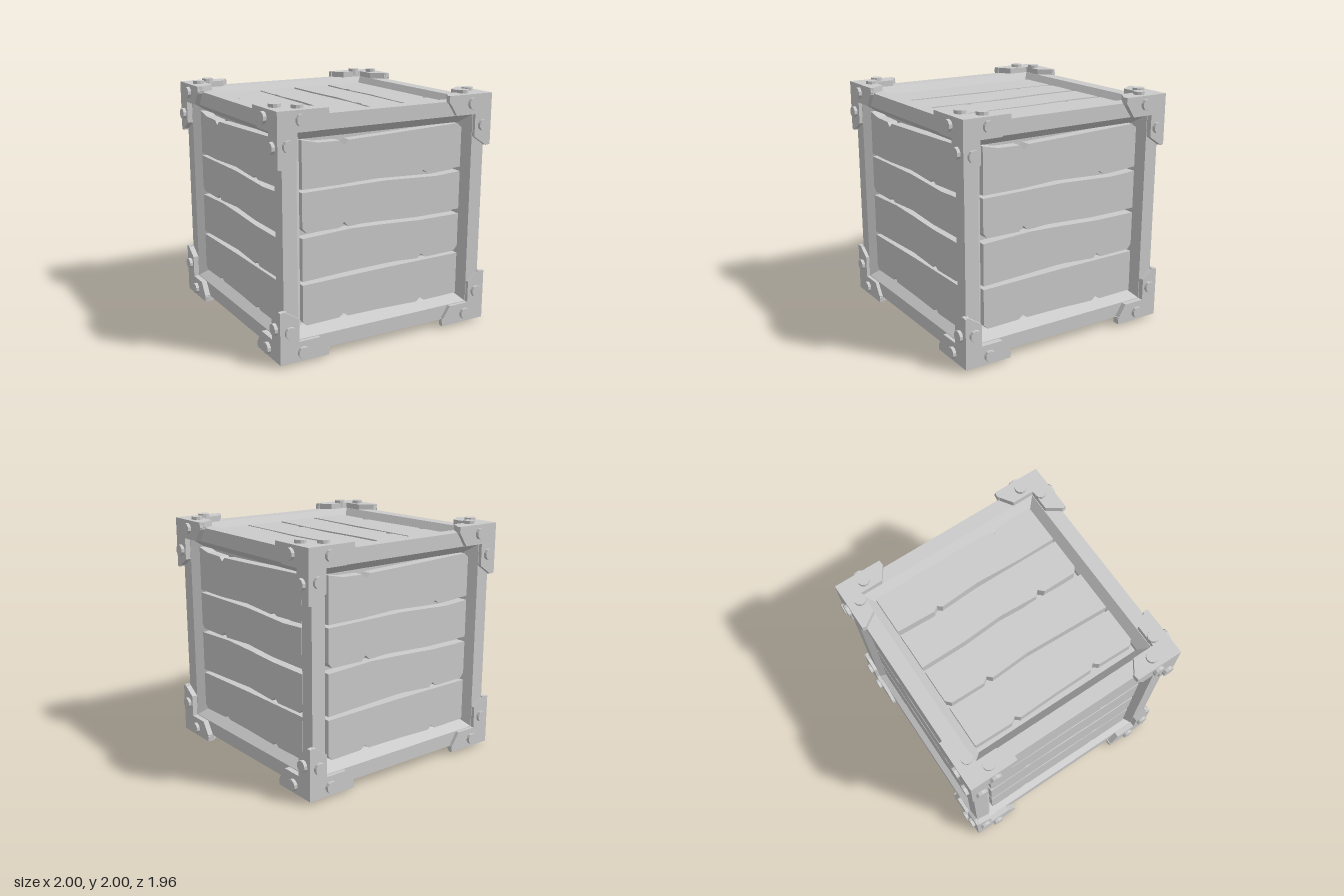
import * as THREE from 'three';

const material = new THREE.MeshStandardMaterial({ color: 0xcccccc, flatShading: true });
const toVec = (pts) => pts.map(([x, y]) => new THREE.Vector2(x, y));

// Upper and lower edge of each plank, left to right, measured from the face centre
const PLANKS = [
  { top: [[-.735, .735], [-.6, .705], [-.41, .7], [-.37, .665], [-.33, .7], [0, .71], [.69, .735], [.735, .70]],
    bottom: [[-.735, .36], [-.4, .36], [0, .378], [.33, .357], [.365, .385], [.41, .357], [.735, .37]] },
  { top: [[-.735, .335], [0, .343], [.5, .32], [.735, .333]],
    bottom: [[-.735, .06], [-.7, .018], [-.41, .018], [-.37, .058], [-.33, .018], [0, .036], [.35, .013], [.735, .013]] },
  { top: [[-.735, -.022], [-.3, -.002], [0, -.012], [.35, -.03], [.735, -.03]],
    bottom: [[-.735, -.365], [0, -.335], [.33, -.355], [.365, -.32], [.41, -.355], [.7, -.35], [.735, -.31]] },
  { top: [[-.735, -.395], [0, -.38], [.735, -.375]],
    bottom: [[-.735, -.69], [-.7, -.728], [-.41, -.722], [-.37, -.69], [-.33, -.722], [0, -.725], [.33, -.735],
      [.365, -.705], [.41, -.735], [.735, -.73]] },
];

// Half width, half height and outer level of the corner plates, bolt top and bolt positions
const HARDWARE = {
  front: { u: .972, v: .974, level: .955, boltTop: .982, bolts: [[.778, .9], [.888, .717]] },
  side: { u: .955, v: .974, level: .972, boltTop: 1, bolts: [[.745, .903], [.875, .7]] },
  lid: { u: .972, v: .955, level: .974, boltTop: 1, bolts: [[.757, .85], [.885, .742]] },
};

function slab(name, pts, z0, z1) {
  const geometry = new THREE.ExtrudeGeometry(new THREE.Shape(toVec(pts)), { depth: z1 - z0, bevelEnabled: false });
  geometry.translate(0, 0, z0);
  const mesh = new THREE.Mesh(geometry, material);
  mesh.name = name;
  return mesh;
}

// Four planks; on lids they run the other way
function plankPanel(face) {
  const group = new THREE.Group();
  group.name = 'plankPanel';
  for (const { top, bottom } of PLANKS) {
    let pts = [...top, ...[...bottom].reverse()];
    if (face === 'lid') pts = pts.map(([x, y]) => [Math.min(y + .04, .745), x]);
    group.add(slab('plank', pts, .77, .877));
  }
  return group;
}

// L-shaped plates with slanted arm ends and two bolts at the four corners of a face
function cornerHardware(face) {
  const { u, v, level, boltTop, bolts } = HARDWARE[face];
  const plate = [[u, v], [.55, v], [.545, .93], [.625, .81], [.81, .81], [.81, .625], [.93, .545], [u, .55]];
  const group = new THREE.Group();
  group.name = 'cornerHardware';
  for (const sx of [-1, 1]) for (const sy of [-1, 1]) {
    group.add(slab('cornerPlate', plate.map(([x, y]) => [x * sx, y * sy]), .915, level));
    for (const [x, y] of bolts) {
      const bolt = new THREE.Mesh(new THREE.CylinderGeometry(.048, .048, .06, 10), material);
      bolt.name = 'bolt';
      bolt.rotation.x = Math.PI / 2;
      bolt.position.set(x * sx, y * sy, boltTop - .03);
      group.add(bolt);
    }
  }
  return group;
}

// Place a front-facing part on all six faces
function onAllFaces(name, build) {
  const group = new THREE.Group();
  group.name = name;
  for (let k = 0; k < 4; k++) {
    const wall = build(k % 2 ? 'side' : 'front');
    wall.rotation.y = k * Math.PI / 2;
    group.add(wall);
  }
  for (const turn of [-1, 1]) {
    const lid = build('lid');
    lid.rotation.x = turn * Math.PI / 2;
    group.add(lid);
  }
  return group;
}

// Twelve edge beams with sloped inner faces
function frame() {
  const group = new THREE.Group();
  group.name = 'frame';
  const section = [[.925, .925], [.805, .925], [.735, .83], [.735, .735], [.83, .735], [.925, .805]];
  for (const [rx, ry] of [[0, 0], [Math.PI / 2, 0], [0, Math.PI / 2]]) {
    const axis = new THREE.Group();
    axis.name = 'beamSet';
    axis.rotation.set(rx, ry, 0);
    for (let k = 0; k < 4; k++) {
      const beam = slab('beam', section, -.812, .812);
      beam.rotation.z = k * Math.PI / 2;
      axis.add(beam);
    }
    group.add(axis);
  }
  return group;
}

export function createModel() {
  const crate = new THREE.Group();
  crate.name = 'crate';

  // Solid core seen through the gaps
  const core = new THREE.Mesh(new THREE.BoxGeometry(1.58, 1.58, 1.58), material);
  core.name = 'core';

  const body = new THREE.Group();
  body.name = 'body';
  body.position.y = 1;
  body.add(core, frame(), onAllFaces('panels', plankPanel), onAllFaces('hardware', cornerHardware));
  crate.add(body);
  return crate;
}
